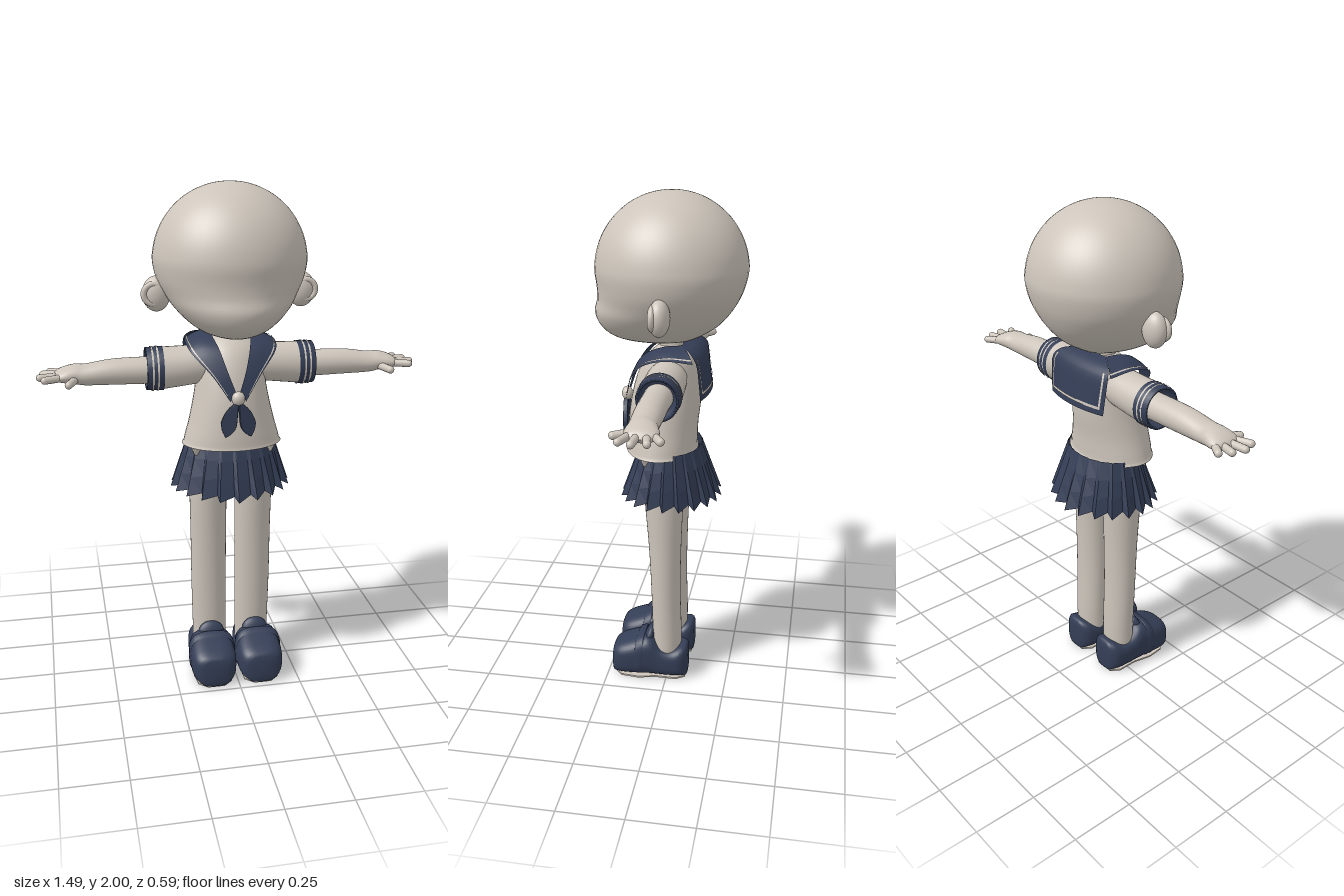
import * as THREE from 'three';

const mat = (name, color) => {
  const m = new THREE.MeshStandardMaterial({ color, side: THREE.DoubleSide });
  m.name = name;
  return m;
};

export function createModel() {
  const pale = mat('pale', 0xcdc5bb), navy = mat('navy', 0x343e56);
  const model = new THREE.Group();
  model.name = 'schoolgirlFigure';

  const add = (parent, name, geo, material, pos) => {
    const m = new THREE.Mesh(geo, material);
    m.name = name;
    if (pos) m.position.set(...pos);
    parent.add(m);
    return m;
  };
  const V = a => new THREE.Vector3(...a);
  const build = (pos, idx) => {
    const g = new THREE.BufferGeometry();
    g.setAttribute('position', new THREE.Float32BufferAttribute(pos, 3));
    g.setIndex(idx);
    g.computeVertexNormals();
    return g;
  };
  const cat = (a, b, c, d, t) => b + 0.5 * t * (c - a + t * (2 * a - 5 * b + 4 * c - d + t * (3 * (b - c) + d - a)));
  const spow = (v, e) => Math.sign(v) * Math.abs(v) ** e;

  // Smooth skin over elliptical rings [t, p, q, rp, rq]; (p, q) follow the axis in x-y-z order
  function loft(rings, axis, { seg = 32, sub = 4, e = 1 } = {}) {
    const rows = [], last = rings.length - 1;
    for (let i = 0; i < last; i++)
      for (let s = 0; s < sub; s++)
        rows.push(rings[i].map((b, k) => cat(rings[Math.max(i - 1, 0)][k], b, rings[i + 1][k], rings[Math.min(i + 2, last)][k], s / sub)));
    rows.push(rings[last]);
    const pos = [], idx = [];
    rows.forEach(([t, p, q, rp, rq], i) => {
      for (let j = 0; j < seg; j++) {
        const a = j / seg * Math.PI * 2;
        const P = p + rp * spow(Math.cos(a), e), Q = q + rq * spow(Math.sin(a), e);
        pos.push(...(axis === 'x' ? [t, P, Q] : axis === 'y' ? [Q, t, P] : [P, Q, t]));
        if (i < rows.length - 1) {
          const k = (j + 1) % seg, o = i * seg;
          idx.push(o + j, o + k, o + seg + k, o + j, o + seg + k, o + seg + j);
        }
      }
    });
    return build(pos, idx);
  }

  // Grid over f(u, v), optionally lifted away from the chest
  function surface(f, nu, nv, [u0, u1, v0, v1] = [0, 1, 0, 1], lift = 0) {
    const pos = [], idx = [], mid = new THREE.Vector3(0, 1.3, 0);
    for (let i = 0; i <= nu; i++)
      for (let j = 0; j <= nv; j++) {
        const p = f(u0 + (u1 - u0) * i / nu, v0 + (v1 - v0) * j / nv);
        p.addScaledVector(p.clone().sub(mid).normalize(), lift);
        pos.push(p.x, p.y, p.z);
        if (i < nu && j < nv) {
          const a = i * (nv + 1) + j, b = a + nv + 1;
          idx.push(a, b, b + 1, a, b + 1, a + 1);
        }
      }
    return build(pos, idx);
  }

  // Head: narrow jaw below, round skull above
  const headRings = [[1.432, 0.03, 0, 0, 0], [1.437, 0.05, 0, 0.11, 0.06], [1.46, 0.06, 0, 0.175, 0.125],
    [1.50, 0.05, 0, 0.228, 0.18], [1.55, 0.035, 0, 0.26, 0.226], [1.60, 0.014, 0, 0.27, 0.258], [1.65, 0.003, 0, 0.28, 0.282]];
  for (let i = 0; i <= 10; i++) {
    const a = i / 10 * Math.PI / 2;
    headRings.push([1.71 + 0.29 * Math.sin(a), 0, 0, 0.29 * Math.cos(a), 0.294 * Math.cos(a)]);
  }
  add(model, 'head', loft(headRings, 'y', { seg: 48 }), pale);
  add(model, 'neck', new THREE.CylinderGeometry(0.045, 0.05, 0.12, 24), pale, [0, 1.41, 0]);

  // Torso and hips
  add(model, 'blouse', loft([[1.0, 0.035, 0, 0, 0], [1.0, 0.035, 0, 0.13, 0.18], [1.015, 0.037, 0, 0.138, 0.19],
    [1.1, 0.033, 0, 0.137, 0.167], [1.2, 0.022, 0, 0.137, 0.145], [1.3, 0.01, 0, 0.124, 0.13],
    [1.37, 0, 0, 0.1, 0.12], [1.41, -0.01, 0, 0.07, 0.085], [1.425, -0.01, 0, 0.045, 0.045]], 'y', { seg: 40 }), pale);
  add(model, 'hips', loft([[0.83, 0.01, 0, 0, 0], [0.85, 0.01, 0, 0.065, 0.1], [0.9, 0.01, 0, 0.095, 0.145],
    [1.02, 0.01, 0, 0.1, 0.15]], 'y'), pale);

  // Pleated skirt with crisp folds
  const pleats = 20;
  const skirt = surface((u, v) => {
    const n = Math.round(u * pleats * 2), fold = n % 2;
    const a = (n + fold * 0.55) / (pleats * 2) * Math.PI * 2, k = 1 - fold * (0.02 + 0.1 * v);
    return new THREE.Vector3(Math.sin(a) * k * (0.172 + 0.07 * v),
      1.02 - 0.225 * v + v * (0.018 * fold + 0.015 * Math.abs(Math.sin(a))), Math.cos(a) * k * (0.122 + 0.082 * v));
  }, pleats * 2, 3).toNonIndexed();
  skirt.computeVertexNormals();
  add(model, 'skirt', skirt, navy);

  // Sailor collar: square back flap and two lapels
  const flapRows = [[0.07, 1.435, -0.05], [0.14, 1.42, -0.1], [0.165, 1.39, -0.13], [0.162, 1.31, -0.147], [0.156, 1.245, -0.158]];
  const flapCurve = new THREE.CatmullRomCurve3(flapRows.map(V));
  const flap = (u, v) => {
    const p = flapCurve.getPoint(v), s = u * 2 - 1;
    return new THREE.Vector3(p.x * s, p.y, p.z + 0.025 * s * s * v);
  };
  add(model, 'collarFlap', surface(flap, 16, 16), navy);
  [[0.06, 0.94, 0.87, 0.91], [0.06, 0.085, 0.4, 0.91], [0.915, 0.94, 0.4, 0.91]].forEach(r =>
    add(model, 'collarFlapStripe', surface(flap, 14, 12, r, 0.004), pale));
  const inner = new THREE.CatmullRomCurve3([[0.008, 1.235, 0.172], [0.035, 1.31, 0.15], [0.06, 1.39, 0.1],
    [0.075, 1.428, 0.02], [0.07, 1.435, -0.05]].map(V));
  const outer = new THREE.CatmullRomCurve3([[0.03, 1.2, 0.178], [0.09, 1.29, 0.15], [0.165, 1.375, 0.085],
    [0.176, 1.4, 0], [0.165, 1.39, -0.105]].map(V));
  const lapel = (u, v) => {
    const p = inner.getPoint(u).lerp(outer.getPoint(u), v);
    p.y += 0.012 * Math.sin(Math.PI * v) * u;
    return p;
  };

  // Neckerchief knot
  add(model, 'scarfKnot', new THREE.SphereGeometry(1, 20, 14), pale, [0, 1.212, 0.178]).scale.set(0.026, 0.028, 0.022);

  // Scarf tail outline
  const tail = new THREE.Shape();
  tail.moveTo(0, 1.2);
  tail.quadraticCurveTo(0.05, 1.17, 0.064, 1.115);
  tail.quadraticCurveTo(0.062, 1.085, 0.048, 1.065);
  tail.quadraticCurveTo(0.012, 1.08, 0.008, 1.12);
  tail.closePath();

  // Sole outline, drawn with the toe towards +y
  const sole = new THREE.Shape([[0.04, -0.078], [0.064, -0.04], [0.062, 0.04], [0.078, 0.12], [0.07, 0.19], [0.035, 0.222],
    [-0.035, 0.222], [-0.07, 0.19], [-0.072, 0.12], [-0.062, 0.04], [-0.064, -0.04], [-0.04, -0.078]].map(p => new THREE.Vector2(...p)));

  const finger = (parent, name, a, b, r) => {
    const d = V(b).sub(V(a));
    const m = add(parent, name, new THREE.CapsuleGeometry(r, d.length() - r, 5, 12), pale);
    m.position.copy(V(a)).addScaledVector(d, 0.5);
    m.quaternion.setFromUnitVectors(new THREE.Vector3(0, 1, 0), d.normalize());
  };

  for (const sx of [1, -1]) {
    const side = new THREE.Group();
    side.name = sx > 0 ? 'leftSide' : 'rightSide';
    side.scale.x = sx;
    model.add(side);

    // Ear with a raised inner fold
    add(side, 'ear', new THREE.SphereGeometry(1, 24, 18), pale, [0.282, 1.59, 0]).scale.set(0.054, 0.068, 0.04);
    add(side, 'earFold', new THREE.TorusGeometry(0.037, 0.012, 10, 24), pale, [0.295, 1.592, 0.022]);

    // Lapel and trim
    add(side, 'lapel', surface(lapel, 20, 6), navy);
    add(side, 'lapelStripe', surface(lapel, 20, 2, [0.06, 1, 0.85, 0.9], 0.004), pale);
    const t = add(side, 'scarfTail', new THREE.ExtrudeGeometry(tail, { depth: 0.01, bevelEnabled: true, bevelSize: 0.003,
      bevelThickness: 0.004, bevelSegments: 2, curveSegments: 8 }), navy, [0, 0, 0.178]);
    t.rotation.y = 0.12;

    // Sleeve and open striped cuff
    add(side, 'sleeve', loft([[0.06, 1.31, 0, 0.07, 0.07], [0.13, 1.31, 0, 0.076, 0.078], [0.2, 1.305, 0, 0.079, 0.08],
      [0.28, 1.3, 0, 0.083, 0.08]], 'x'), pale);
    add(side, 'cuff', loft([[0.265, 1.3, 0, 0.086, 0.083], [0.33, 1.3, 0, 0.083, 0.08], [0.33, 1.3, 0, 0.073, 0.07],
      [0.28, 1.3, 0, 0.07, 0.067], [0.28, 1.3, 0, 0.04, 0.04]], 'x', { sub: 1 }), navy);
    for (const x of [0.284, 0.304])
      add(side, 'cuffStripe', loft([[x, 1.3, 0, 0.0875, 0.0845], [x + 0.007, 1.3, 0, 0.0872, 0.0842]], 'x', { sub: 1 }), pale);

    // Arm, palm and fingers
    add(side, 'arm', loft([[0.27, 1.295, 0.004, 0.053, 0.055], [0.45, 1.296, 0.004, 0.05, 0.055], [0.56, 1.29, 0.004, 0.041, 0.053],
      [0.6, 1.293, 0, 0.038, 0.056], [0.64, 1.291, -0.003, 0.03, 0.062], [0.67, 1.288, -0.005, 0.018, 0.052],
      [0.685, 1.287, -0.005, 0, 0]], 'x'), pale);
    [[-0.042, 0.7, -0.08], [-0.02, 0.727, -0.038], [0.008, 0.74, 0.016], [0.032, 0.722, 0.064]].forEach(([z, x2, z2]) =>
      finger(side, 'finger', [0.64, 1.288, z], [x2, 1.287, z2], 0.0145));
    finger(side, 'thumb', [0.6, 1.28, 0.035], [0.631, 1.274, 0.104], 0.015);

    // Leg, thigh band and blouse corner hanging over the skirt
    add(side, 'leg', loft([[0.08, 0.005, 0.09, 0.058, 0.068], [0.2, 0.005, 0.09, 0.06, 0.07], [0.4, 0.01, 0.092, 0.06, 0.072],
      [0.6, 0.013, 0.092, 0.066, 0.073], [0.8, 0.017, 0.092, 0.077, 0.075], [0.94, 0.02, 0.085, 0.078, 0.073]], 'y'), pale);
    add(side, 'thighBand', loft([[0.835, 0.018, 0.092, 0.083, 0.081], [0.885, 0.018, 0.09, 0.083, 0.081]], 'y', { sub: 1 }), navy);
    const tip = add(side, 'blouseCorner', new THREE.ConeGeometry(0.028, 0.06, 8), pale, [0.148, 0.98, 0.082]);
    tip.rotation.x = Math.PI;

    // Loafer: cross-sections from heel to toe
    const shoe = new THREE.Group();
    shoe.name = 'shoe';
    shoe.position.set(0.097, 0.006, 0);
    side.add(shoe);
    const sec = (z, w, h, x = 0) => [z, x, h / 2, w, h / 2];
    add(shoe, 'shoeBody', loft([[-0.086, 0, 0.07, 0, 0], sec(-0.084, 0.045, 0.13), sec(-0.06, 0.072, 0.138), sec(-0.02, 0.079, 0.125),
      sec(0.03, 0.082, 0.14), sec(0.07, 0.087, 0.183), sec(0.12, 0.092, 0.168), sec(0.17, 0.092, 0.15), sec(0.205, 0.083, 0.135),
      sec(0.228, 0.058, 0.115), [0.234, 0, 0.05, 0, 0]], 'z', { seg: 40, sub: 3, e: 0.65 }), navy);
    add(shoe, 'shoeStrap', loft([sec(0.095, 0.092, 0.181), sec(0.1, 0.095, 0.184), sec(0.122, 0.097, 0.176),
      sec(0.128, 0.093, 0.168)], 'z', { seg: 40, sub: 1, e: 0.65 }).translate(0, 0.001, 0), navy);
    const tongue = add(shoe, 'shoeTongue', new THREE.SphereGeometry(1, 20, 14), navy, [-0.004, 0.165, 0.077]);
    tongue.scale.set(0.056, 0.05, 0.022);
    tongue.rotation.x = -0.3;
    add(shoe, 'sole', new THREE.ExtrudeGeometry(sole, { depth: 0.007, bevelEnabled: false }).rotateX(Math.PI / 2)
      .translate(0, 0.001, 0), pale);
  }
  return model;
}
